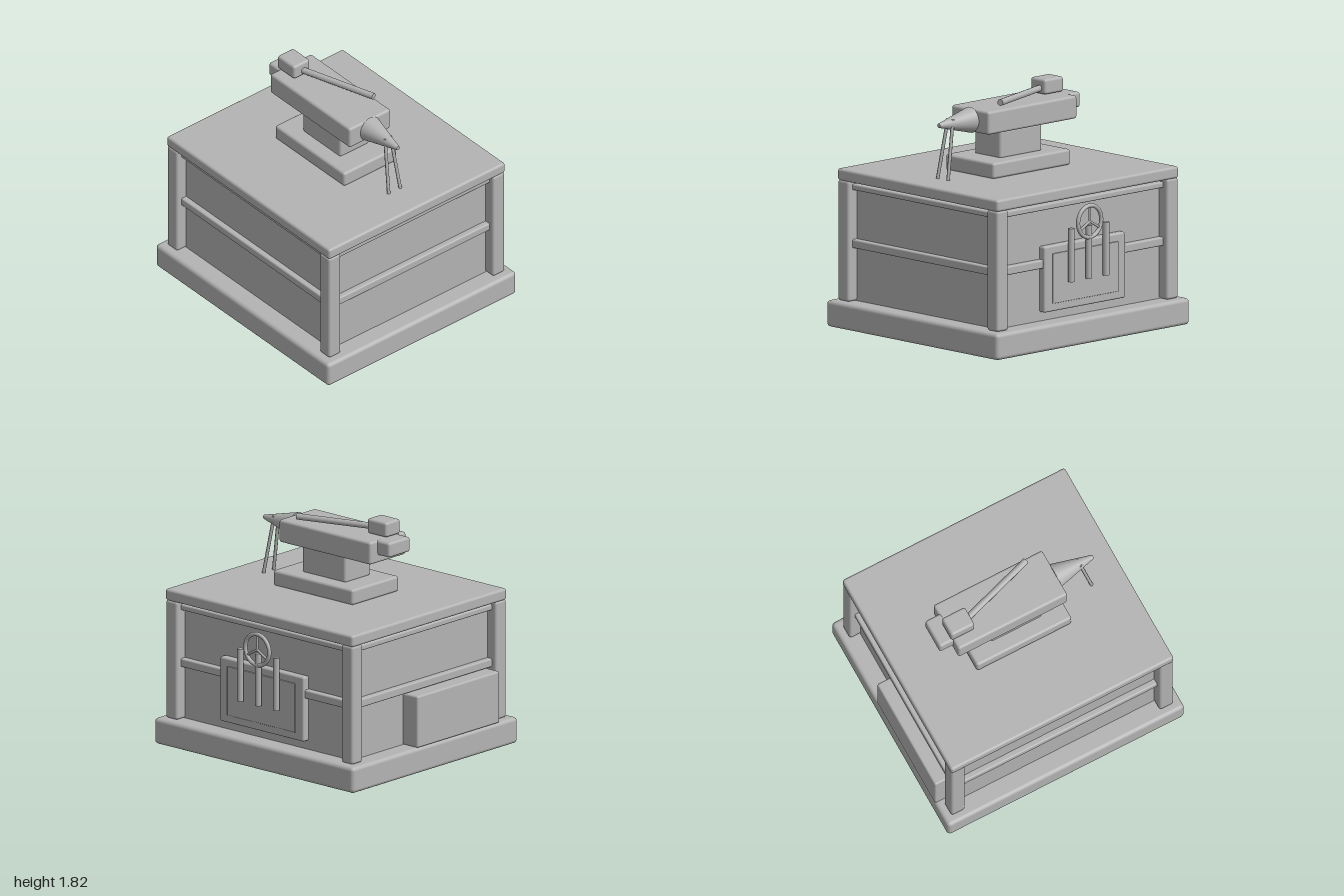
import * as THREE from 'three';
import { RoundedBoxGeometry } from 'three/addons/geometries/RoundedBoxGeometry.js';

export function createModel() {
  const model = new THREE.Group();
  model.name = 'anvilWorkbench';
  const grey = new THREE.MeshStandardMaterial({ color: 0xb3b3b3 });
  grey.name = 'plain grey';

  const add = (name, geometry) => {
    const mesh = new THREE.Mesh(geometry, grey);
    mesh.name = name;
    model.add(mesh);
    return mesh;
  };
  // Rounded box given by its extents on each axis
  const box = (name, [x0, x1], [y0, y1], [z0, z1], r = 0.015) => {
    const mesh = add(name, new RoundedBoxGeometry(x1 - x0, y1 - y0, z1 - z0, 3, r));
    mesh.position.set((x0 + x1) / 2, (y0 + y1) / 2, (z0 + z1) / 2);
    return mesh;
  };
  // Round bar between two points
  const rod = (name, a, b, r0, r1 = r0, sides = 16) => {
    const from = new THREE.Vector3(...a), to = new THREE.Vector3(...b);
    const dir = to.clone().sub(from);
    const mesh = add(name, new THREE.CylinderGeometry(r1, r0, dir.length(), sides));
    mesh.position.copy(from).add(to).multiplyScalar(0.5);
    mesh.quaternion.setFromUnitVectors(new THREE.Vector3(0, 1, 0), dir.normalize());
    return mesh;
  };

  // Bench: plinth, recessed body and top
  box('plinth', [-1, 1], [0, 0.2], [-0.917, 0.917], 0.03);
  box('body', [-0.85, 0.85], [0.18, 1.13], [-0.765, 0.765], 0.005);
  box('benchTop', [-0.94, 0.94], [1.11, 1.2], [-0.857, 0.857], 0.02);

  // Corner posts
  for (const sx of [-1, 1]) {
    for (const sz of [-1, 1]) {
      const post = box('cornerPost', [-0.058, 0.058], [0.2, 1.115], [-0.058, 0.058], 0.02);
      post.position.x = sx * 0.88;
      post.position.z = sz * 0.797;
    }
  }

  // Rails on all four sides
  for (const [y0, y1] of [[0.605, 0.67], [1.045, 1.09]]) {
    for (const s of [-1, 1]) {
      const long = box('longRail', [-0.86, 0.86], [y0, y1], [-0.03, 0.03], 0.012);
      long.position.z = s * 0.78;
      const short = box('sideRail', [-0.03, 0.03], [y0, y1], [-0.78, 0.78], 0.012);
      short.position.x = s * 0.865;
    }
  }

  // Chest on the side
  box('sideChest', [-1, -0.84], [0.2, 0.6], [-0.2, 0.71], 0.015);

  // Anvil
  box('anvilFoot', [-0.4, 0.4], [1.2, 1.32], [-0.258, 0.258], 0.02);
  box('anvilWaist', [-0.22, 0.215], [1.31, 1.525], [-0.14, 0.14], 0.02);
  box('anvilBody', [-0.525, 0.395], [1.525, 1.7], [-0.2, 0.2], 0.02);
  box('anvilHeel', [-0.64, -0.5], [1.585, 1.7], [-0.118, 0.118], 0.02);
  rod('anvilHorn', [0.39, 1.614, 0], [0.717, 1.614, 0], 0.098, 0.016, 32);

  // Hammer lying on the anvil
  box('hammerHead', [-0.54, -0.345], [1.705, 1.82], [-0.04, 0.118], 0.02);
  rod('hammerHandle', [-0.4, 1.747, 0.04], [0.24, 1.747, -0.165], 0.025, 0.025, 10);

  // Tongs leaning on the horn
  for (const s of [-1, 1]) {
    rod('tongsLeg', [0.675, 1.2, s * 0.056], [0.597, 1.648, s * 0.026], 0.013, 0.013, 8);
  }

  // Tool board on the back
  box('toolBoard', [-0.42, 0.42], [0.27, 0.77], [-0.825, -0.76], 0.015);
  box('toolBoardPanel', [-0.34, 0.34], [0.33, 0.71], [-0.833, -0.82], 0.004);
  for (const x of [-0.18, 0, 0.18]) {
    rod('hangingBar', [x, 0.48, -0.862], [x, 0.885, -0.862], 0.025);
  }

  // Spoked ring above the hanging bars
  const cy = 0.915, cz = -0.873;
  add('ring', new THREE.TorusGeometry(0.12, 0.016, 12, 40)).position.set(0, cy, cz);
  for (let i = 0; i < 3; i++) {
    const a = Math.PI / 2 + (i * Math.PI * 2) / 3;
    rod('ringSpoke', [0, cy, cz], [0.12 * Math.cos(a), cy + 0.12 * Math.sin(a), cz], 0.01, 0.01, 8);
  }

  return model;
}
